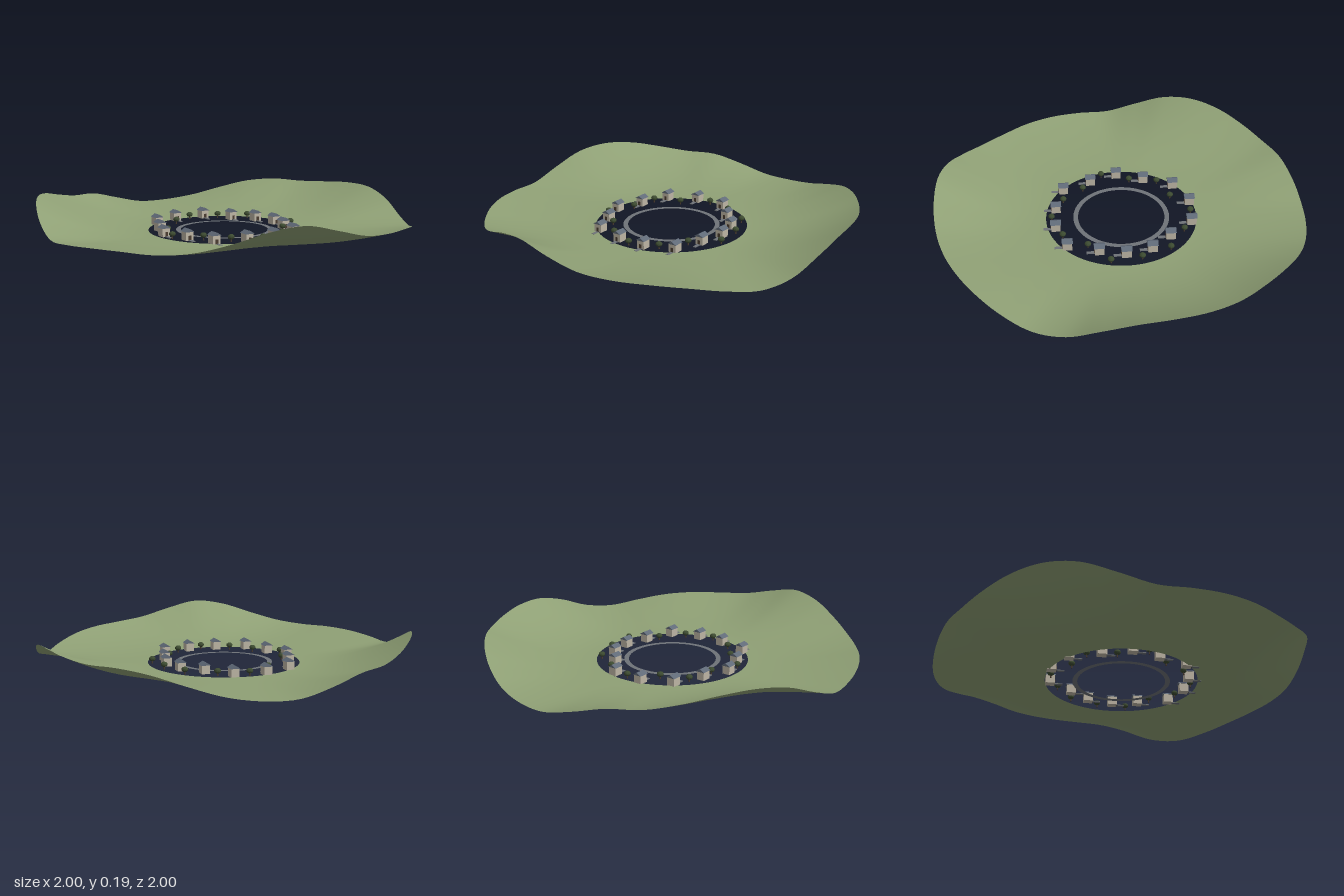
import * as THREE from 'three';

const mat = (color, extra = {}) => new THREE.MeshStandardMaterial({ color, ...extra });
const grass = mat(0x8fa075, { side: THREE.DoubleSide });
const stone = mat(0x6f7378, { side: THREE.DoubleSide });
const wall = mat(0xbdb5a4);
const roofing = mat(0x606a78, { flatShading: true });
const wood = mat(0x4a3c30);
const leaf = mat(0x3c4a30, { flatShading: true });

const INNER = 0.41, GROUND = 0.004;

// Rim height every 10 degrees, turning from +x towards +z
const RIM = [
  .16, .115, .048, .023, .045, .072, .088, .096, .112, .155, .193, .172,
  .12, .078, .062, .064, .06, .05, .045, .1, .165, .19, .178, .145,
  .115, .105, .062, .022, .022, .045, .09, .133, .15, .146, .155, .166,
];

// Smooth periodic interpolation of the rim height
function rimHeight(angle) {
  const n = RIM.length, f = angle / (2 * Math.PI) * n, i = Math.floor(f), t = f - i;
  const [a, b, c, d] = [-1, 0, 1, 2].map(k => RIM[(i + k + n) % n]);
  return b + 0.5 * t * (c - a + t * (2 * a - 5 * b + 4 * c - d + t * (3 * (b - c) + d - a)));
}

// Rolling ring of land, flat at the hole and rising towards the rim
function makeLand() {
  const seg = 180, rings = 24, pos = [], idx = [];
  for (let j = 0; j <= rings; j++) {
    const t = j / rings, r = INNER + (1 - INNER) * t;
    for (let i = 0; i < seg; i++) {
      const a = i / seg * 2 * Math.PI;
      pos.push(r * Math.cos(a), GROUND + (rimHeight(a) - GROUND) * t * t, r * Math.sin(a));
      if (j === rings) continue;
      const p = j * seg + i, q = j * seg + (i + 1) % seg;
      idx.push(p, q, p + seg, q, q + seg, p + seg);
    }
  }
  const geo = new THREE.BufferGeometry();
  geo.setAttribute('position', new THREE.Float32BufferAttribute(pos, 3));
  geo.setIndex(idx);
  geo.computeVertexNormals();
  return geo;
}

function add(parent, name, geo, material, x = 0, y = 0, z = 0) {
  const mesh = new THREE.Mesh(geo, material);
  mesh.name = name;
  mesh.position.set(x, y, z);
  parent.add(mesh);
  return mesh;
}

// Shared house and tree geometries
const gable = new THREE.Shape([[-.026, 0], [.026, 0], [0, .016]].map(p => new THREE.Vector2(...p)));
const roofGeo = new THREE.ExtrudeGeometry(gable, { depth: .058, bevelEnabled: false }).translate(0, 0, -.029);
const wallGeo = new THREE.BoxGeometry(.044, .046, .05);
const doorGeo = new THREE.BoxGeometry(.014, .026, .003);
const pathGeo = new THREE.BoxGeometry(.018, .004, .045);
const trunkGeo = new THREE.CylinderGeometry(.003, .004, .018, 6);
const crownGeo = new THREE.IcosahedronGeometry(.018, 1).scale(1, .8, 1);

function makeHouse() {
  const g = new THREE.Group();
  g.name = 'house';
  add(g, 'houseWalls', wallGeo, wall, 0, .025, 0);
  add(g, 'houseRoof', roofGeo, roofing, 0, .047, 0);
  add(g, 'houseDoor', doorGeo, wood, 0, .015, .026);
  add(g, 'housePath', pathGeo, stone, 0, .004, .045);
  return g;
}

function makeTree() {
  const g = new THREE.Group();
  g.name = 'tree';
  add(g, 'treeTrunk', trunkGeo, wood, 0, .01, 0);
  add(g, 'treeCrown', crownGeo, leaf, 0, .028, 0);
  return g;
}

const HOUSES = [
  [-.09, -.385], [.085, -.375], [-.247, -.31], [.197, -.247], [-.315, -.15], [.292, -.14], [-.37, 0],
  [.325, 0], [-.315, .15], [.292, .14], [-.247, .305], [.24, .305], [-.08, .353], [.08, .36],
];
const TREES = [
  [0, -.38], [.155, -.327], [-.14, -.284], [-.283, -.225], [.3, -.237], [-.31, -.07], [.362, -.08],
  [-.368, .085], [.378, .085], [-.247, .197], [.247, .197], [-.15, .31], [.155, .326], [0, .38],
];

export function createModel() {
  const model = new THREE.Group();
  model.name = 'villageValley';
  add(model, 'land', makeLand(), grass);

  // Flat stone ring around the middle
  add(model, 'stoneRing', new THREE.RingGeometry(.236, .262, 96).rotateX(-Math.PI / 2), stone, 0, GROUND, 0);

  for (const [list, make] of [[HOUSES, makeHouse], [TREES, makeTree]]) {
    for (const [x, z] of list) {
      const item = make();
      item.position.set(x, 0, z);
      model.add(item);
    }
  }
  return model;
}
